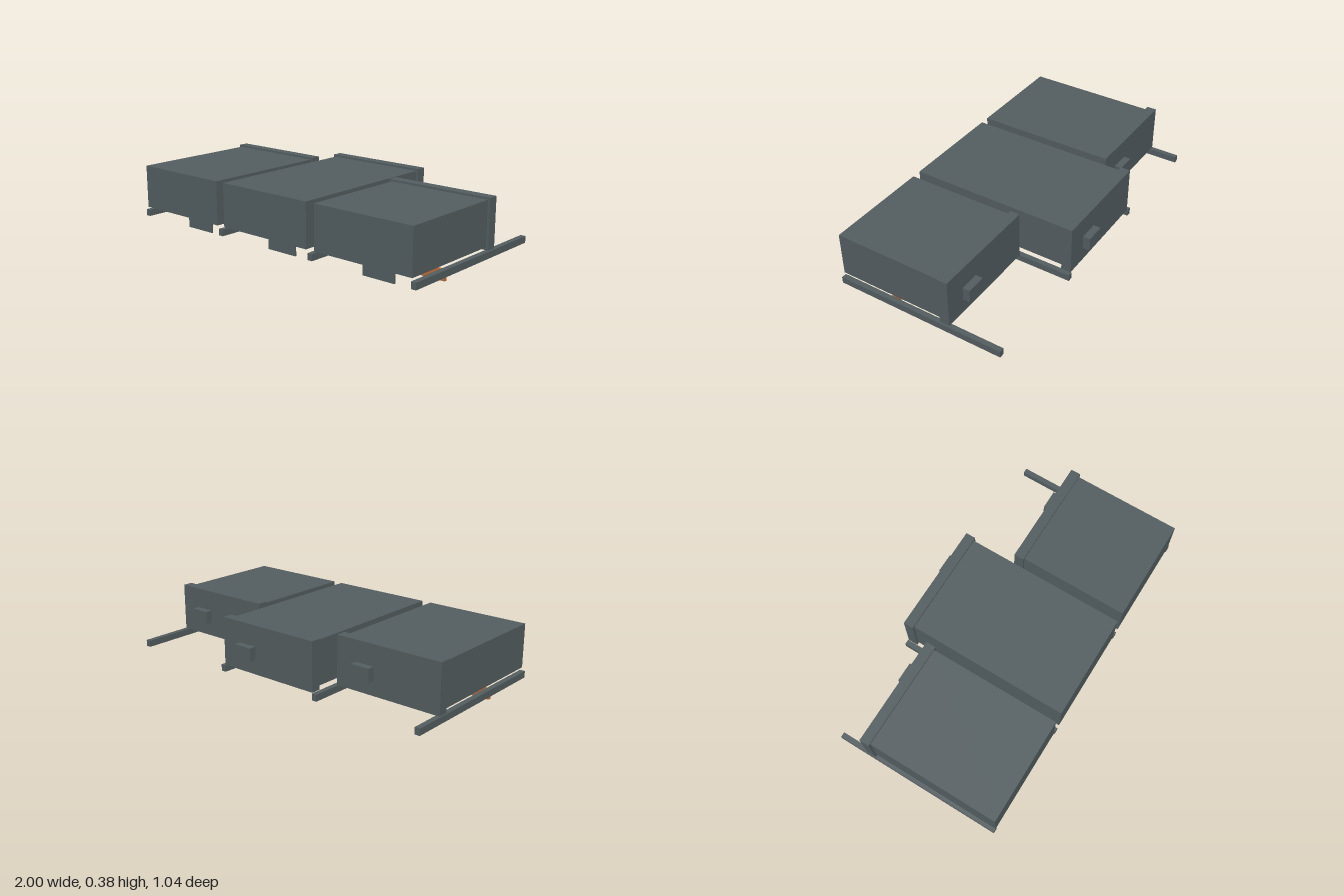
import * as THREE from 'three';

const steel = new THREE.MeshStandardMaterial({ color: 0x535d60 });
steel.name = 'steelGrey';
const lightSteel = new THREE.MeshStandardMaterial({ color: 0x6f787a });
lightSteel.name = 'lightGrey';
const teal = new THREE.MeshStandardMaterial({ color: 0x2f6670 });
teal.name = 'teal';
const orange = new THREE.MeshStandardMaterial({ color: 0xb86c3a });
orange.name = 'orange';

// Box given by its limits on each axis
function box(parent, name, material, [x0, x1], [y0, y1], [z0, z1]) {
  const mesh = new THREE.Mesh(new THREE.BoxGeometry(x1 - x0, y1 - y0, z1 - z0), material);
  mesh.position.set((x0 + x1) / 2, (y0 + y1) / 2, (z0 + z1) / 2);
  mesh.name = name;
  parent.add(mesh);
  return mesh;
}

// Shallow plate whose underside is narrower than its top
function taperedPlate(parent, name, material, x, y, z) {
  const mesh = box(parent, name, material, x, y, z);
  const p = mesh.geometry.attributes.position;
  for (let i = 0; i < p.count; i++) {
    if (p.getY(i) < 0) {
      p.setX(i, p.getX(i) * 0.9);
      p.setZ(i, p.getZ(i) * 0.9);
    }
  }
  mesh.geometry.computeVertexNormals();
}

// One storage unit: case, end plate, handle and underside fittings
function makeUnit(name, cx, back, panelBack) {
  const unit = new THREE.Group();
  unit.name = name;
  unit.position.x = cx;
  box(unit, 'case', steel, [-0.308, 0.308], [0.115, 0.368], [back + 0.05, 0.52]);
  box(unit, 'endPlate', steel, [-0.322, 0.322], [0.1, 0.38], [back, back + 0.058]);
  box(unit, 'handle', steel, [0.084, 0.198], [0.182, 0.26], [back - 0.042, back]);

  // Underside panel, with a grid of windows under its front part
  box(unit, 'undersidePanel', lightSteel, [-0.27, 0.27], [0.106, 0.115], [panelBack, -0.03]);
  box(unit, 'windowFrame', steel, [-0.275, 0.275], [0.107, 0.115], [-0.03, 0.48]);
  for (let row = 0; row < 3; row++) {
    const z = 0.397 - row * 0.167;
    for (let col = -1; col <= 1; col++) {
      const x = col * 0.174;
      taperedPlate(unit, 'window', teal, [x - 0.078, x + 0.078], [0.098, 0.107], [z - 0.063, z + 0.063]);
    }
  }

  // Hanging flaps
  box(unit, 'frontTab', steel, [-0.1, 0.1], [0, 0.107], [0.373, 0.383]);
  box(unit, 'orangeFlap', orange, [-0.29, 0.29], [0.016, 0.076], [0.207, 0.225]);
  return unit;
}

export function createModel() {
  const model = new THREE.Group();
  model.name = 'storageUnits';
  model.add(makeUnit('rightUnit', -0.673, -0.312, -0.24));
  model.add(makeUnit('middleUnit', -0.002, -0.48, -0.24));
  model.add(makeUnit('leftUnit', 0.669, -0.176, -0.1));

  // Rails between and beside the units
  for (const x of [-0.985, -0.34, 0.331, 0.985]) {
    box(model, 'rail', steel, [x - 0.015, x + 0.015], [0.06, 0.098], [-0.485, 0.52]);
  }
  return model;
}
